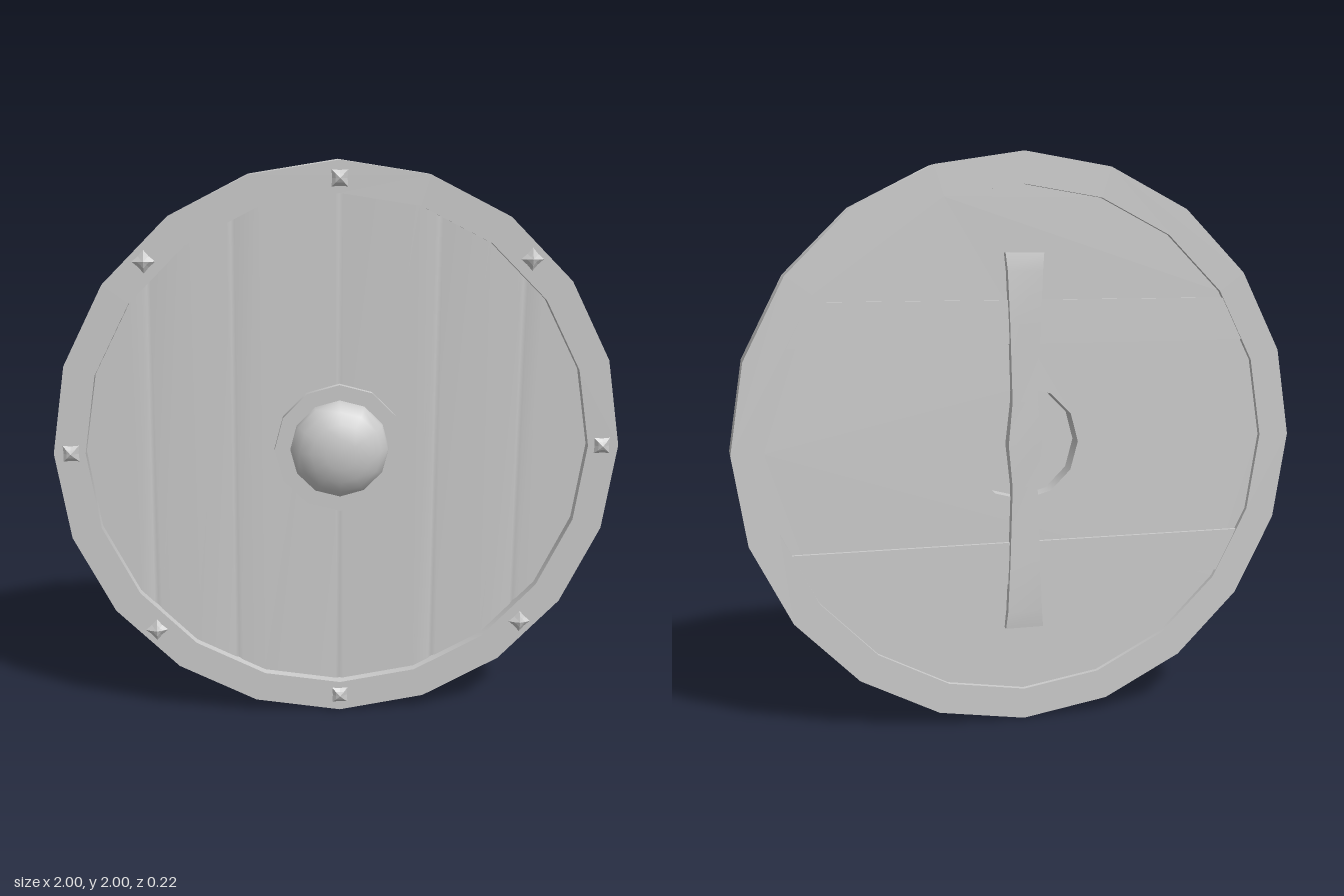
import * as THREE from 'three';
import { toCreasedNormals } from 'three/addons/utils/BufferGeometryUtils.js';

const SIDES = 20, INNER = 0.89;
const RIM_FRONT = 0.023, RIM_BACK = -0.094;
const BOARD_FRONT = -0.012, BOARD_BACK = -0.077;

const mat = (opts = {}) => new THREE.MeshStandardMaterial({ color: 0xcccccc, ...opts });

function ngon(radius, sides, Type = THREE.Shape) {
  const pts = [];
  for (let i = 0; i < sides; i++) {
    const a = (i / sides) * Math.PI * 2;
    pts.push(new THREE.Vector2(Math.cos(a) * radius, Math.sin(a) * radius));
  }
  return new Type(pts);
}

// half-chord of the inner rim polygon at a distance t from its centre line
function halfChord(t) {
  const step = (Math.PI * 2) / SIDES;
  const u = Math.min(Math.abs(t) / INNER, 1);
  const k = Math.min(Math.floor(Math.asin(u) / step + 1e-6), SIDES / 4 - 1);
  const s0 = Math.sin(k * step), s1 = Math.sin((k + 1) * step);
  const c0 = Math.cos(k * step), c1 = Math.cos((k + 1) * step);
  return INNER * (c0 + ((c1 - c0) * (u - s0)) / (s1 - s0));
}

// planked front skin with shallow V grooves
function plankGeometry() {
  const cols = [];
  for (let k = 0; k <= SIDES / 2; k++) cols.push([INNER * Math.cos((k * Math.PI * 2) / SIDES), 0]);
  for (const g of [-0.66, -0.37, 0.345, 0.645]) cols.push([g - 0.013, 0], [g, 0.008], [g + 0.013, 0]);
  cols.push([-0.013, 0], [0.013, 0]);
  for (const c of cols) if (Math.abs(c[0]) < 1e-6) c[1] = 0.008;
  cols.sort((a, b) => a[0] - b[0]);
  const pos = [], idx = [];
  cols.forEach(([x, depth], i) => {
    const h = halfChord(x), z = BOARD_FRONT - depth;
    pos.push(x, -h, z, x, h, z);
    if (i) {
      const a = 2 * i - 2;
      idx.push(a, a + 2, a + 3, a, a + 3, a + 1);
    }
  });
  const geo = new THREE.BufferGeometry();
  geo.setAttribute('position', new THREE.Float32BufferAttribute(pos, 3));
  geo.setIndex(idx);
  geo.computeVertexNormals();
  return geo;
}

// small four-pointed stud, points on the local axes, apex along +z
function studGeometry() {
  const profile = [[0.04, 0], [0.022, 0.011], [0, 0.018]].map(p => new THREE.Vector2(...p));
  const geo = new THREE.LatheGeometry(profile, 8);
  const p = geo.attributes.position;
  for (let i = 0; i < p.count; i++) {
    const x = p.getX(i), z = p.getZ(i);
    if (Math.abs(x * z) > 1e-8) p.setXYZ(i, x * 0.65, p.getY(i), z * 0.65);
  }
  return geo.rotateX(Math.PI / 2);
}

// grip slat: sections from end to middle as [|y|, half width, outer z, inner z]
function gripGeometry() {
  const half = [
    [0.66, 0.068, -0.1, -0.075],
    [0.6, 0.062, -0.107, -0.078],
    [0.42, 0.054, -0.109, -0.08],
    [0.15, 0.045, -0.105, -0.068],
    [0, 0.06, -0.11, -0.06],
  ];
  const n = half.length - 1;
  const geo = new THREE.BoxGeometry(2, 2 * n, 2, 1, 2 * n, 1);
  const p = geo.attributes.position;
  for (let i = 0; i < p.count; i++) {
    const row = Math.round(p.getY(i));
    const [y, w, zOut, zIn] = half[n - Math.abs(row)];
    p.setXYZ(i, p.getX(i) * w, Math.sign(row) * y, p.getZ(i) > 0 ? zIn : zOut);
  }
  geo.computeVertexNormals();
  return geo;
}

export function createModel() {
  const shield = new THREE.Group();
  shield.name = 'roundShield';
  shield.position.y = 1;
  const add = (name, geo, material = mat()) => {
    const mesh = new THREE.Mesh(geo, material);
    mesh.name = name;
    shield.add(mesh);
    return mesh;
  };

  // outer rim
  const ring = ngon(1, SIDES);
  ring.holes.push(ngon(INNER, SIDES, THREE.Path));
  const rimGeo = new THREE.ExtrudeGeometry(ring, { depth: RIM_FRONT - RIM_BACK, bevelEnabled: false });
  rimGeo.translate(0, 0, RIM_BACK);
  add('rim', toCreasedNormals(rimGeo, 0.5));

  // board, open behind the boss for the hand
  add('planks', plankGeometry());
  const back = ngon(INNER, SIDES);
  back.holes.push(ngon(0.2, 12, THREE.Path));
  const backGeo = new THREE.ShapeGeometry(back);
  backGeo.rotateY(Math.PI).translate(0, 0, BOARD_BACK);
  add('boardBack', backGeo);
  const depth = BOARD_FRONT - BOARD_BACK;
  const wallGeo = new THREE.CylinderGeometry(0.2, 0.2, depth, 12, 1, true);
  wallGeo.rotateX(Math.PI / 2).rotateZ(Math.PI / 2).translate(0, 0, BOARD_BACK + depth / 2);
  add('handHollowWall', wallGeo, mat({ side: THREE.BackSide }));

  // boss: flange plate and low dome
  const flangeGeo = new THREE.CylinderGeometry(0.23, 0.23, 0.025, 12);
  flangeGeo.rotateX(Math.PI / 2).translate(0, 0, 0.0005);
  add('bossFlange', flangeGeo);
  const domeGeo = new THREE.SphereGeometry(0.178, 12, 5, 0, Math.PI * 2, 0, Math.PI / 2);
  domeGeo.rotateX(Math.PI / 2).scale(1, 1, 0.61);
  add('bossDome', domeGeo).position.z = 0.002;

  // horizontal battens across the back
  for (const s of [1, -1]) {
    const lo = 0.35, hi = 0.5, a = halfChord(lo), b = halfChord(hi);
    const shape = new THREE.Shape([[-a, lo], [a, lo], [b, hi], [-b, hi]].map(p => new THREE.Vector2(p[0], s * p[1])));
    const geo = new THREE.ExtrudeGeometry(shape, { depth: 0.013, bevelEnabled: false });
    add(s > 0 ? 'upperBatten' : 'lowerBatten', geo.translate(0, 0, -0.09));
  }

  // vertical hand grip
  add('grip', gripGeometry());

  // rim studs
  const studGeo = studGeometry();
  for (let i = 0; i < 8; i++) {
    const a = (i * Math.PI) / 4;
    const stud = add('stud', studGeo, mat({ flatShading: true }));
    stud.position.set(Math.cos(a) * 0.94, Math.sin(a) * 0.94, RIM_FRONT);
    stud.rotation.z = a + Math.PI / 4;
  }

  const model = new THREE.Group();
  model.name = 'shield';
  model.add(shield);
  return model;
}
